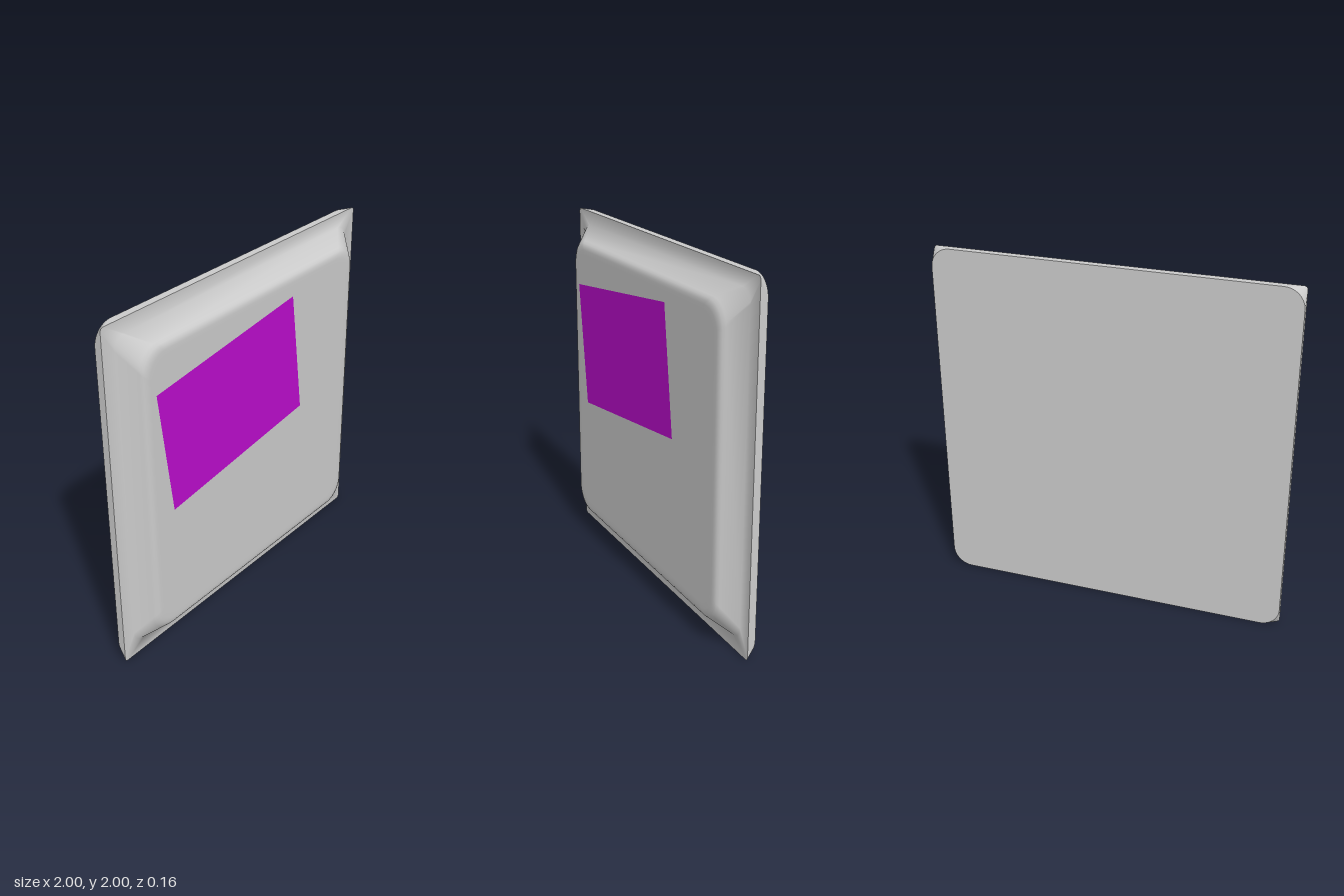
import * as THREE from 'three';

const SEG = 10; // segments per rounded corner

// Rounded square outline of half size h and corner radius r, counter-clockwise from the front
function ring([h, r, z]) {
  const pts = [];
  for (let c = 0; c < 4; c++) {
    const mid = Math.PI / 4 + c * Math.PI / 2;
    const cx = Math.sign(Math.cos(mid)) * (h - r);
    const cy = Math.sign(Math.sin(mid)) * (h - r);
    for (let i = 0; i <= SEG; i++) {
      const a = (c + i / SEG) * Math.PI / 2;
      pts.push([cx + r * Math.cos(a), cy + r * Math.sin(a), z]);
    }
  }
  return pts;
}

// Skin between successive outlines, optionally closed at the last one
function loft(sections, cap) {
  const rings = sections.map(ring);
  const n = rings[0].length;
  const pos = rings.flat(2);
  const idx = [];
  for (let k = 0; k < rings.length - 1; k++) {
    for (let i = 0; i < n; i++) {
      const j = (i + 1) % n;
      const a = k * n + i, b = k * n + j, c = a + n, d = b + n;
      idx.push(a, b, d, a, d, c);
    }
  }
  if (cap) {
    const base = (rings.length - 1) * n;
    pos.push(0, 0, sections[sections.length - 1][2]);
    for (let i = 0; i < n; i++) idx.push(base + i, base + (i + 1) % n, rings.length * n);
  }
  const g = new THREE.BufferGeometry();
  g.setAttribute('position', new THREE.Float32BufferAttribute(pos, 3));
  g.setIndex(idx);
  g.computeVertexNormals();
  return g;
}

export function createModel() {
  const group = new THREE.Group();
  const grey = new THREE.MeshStandardMaterial({ color: 0xcccccc });
  const purple = new THREE.MeshStandardMaterial({ color: 0xbb0ccc });
  const add = (name, geometry, material) => {
    const mesh = new THREE.Mesh(geometry, material);
    mesh.name = name;
    mesh.position.y = 1;
    group.add(mesh);
    return mesh;
  };

  const back = [1, 0.11, -0.095];
  const front = [1, 0.02, -0.052];

  // Outer edge: rounder corners at the back, nearly square at the front
  add('rimEdge', loft([back, front]), grey);

  // Lip, sloping sides and raised centre in one smooth surface
  add('raisedFace', loft([
    front,
    [0.92, 0.07, -0.052],
    [0.856, 0.12, 0.035],
    [0.845, 0.125, 0.048],
    [0.83, 0.125, 0.056],
    [0.81, 0.12, 0.058],
    [0.78, 0.1, 0.058],
  ], true), grey);

  // Flat back
  const outline = new THREE.Shape(ring(back).map(([x, y]) => new THREE.Vector2(x, y)));
  const backPanel = add('backPanel', new THREE.ShapeGeometry(outline), grey);
  backPanel.rotation.y = Math.PI;
  backPanel.position.z = back[2];

  // Tilted coloured label on the raised centre
  const label = add('label', new THREE.PlaneGeometry(1.076, 0.716), purple);
  label.position.set(-0.196, 1.307, 0.06);
  label.rotation.z = 0.127;

  return group;
}
